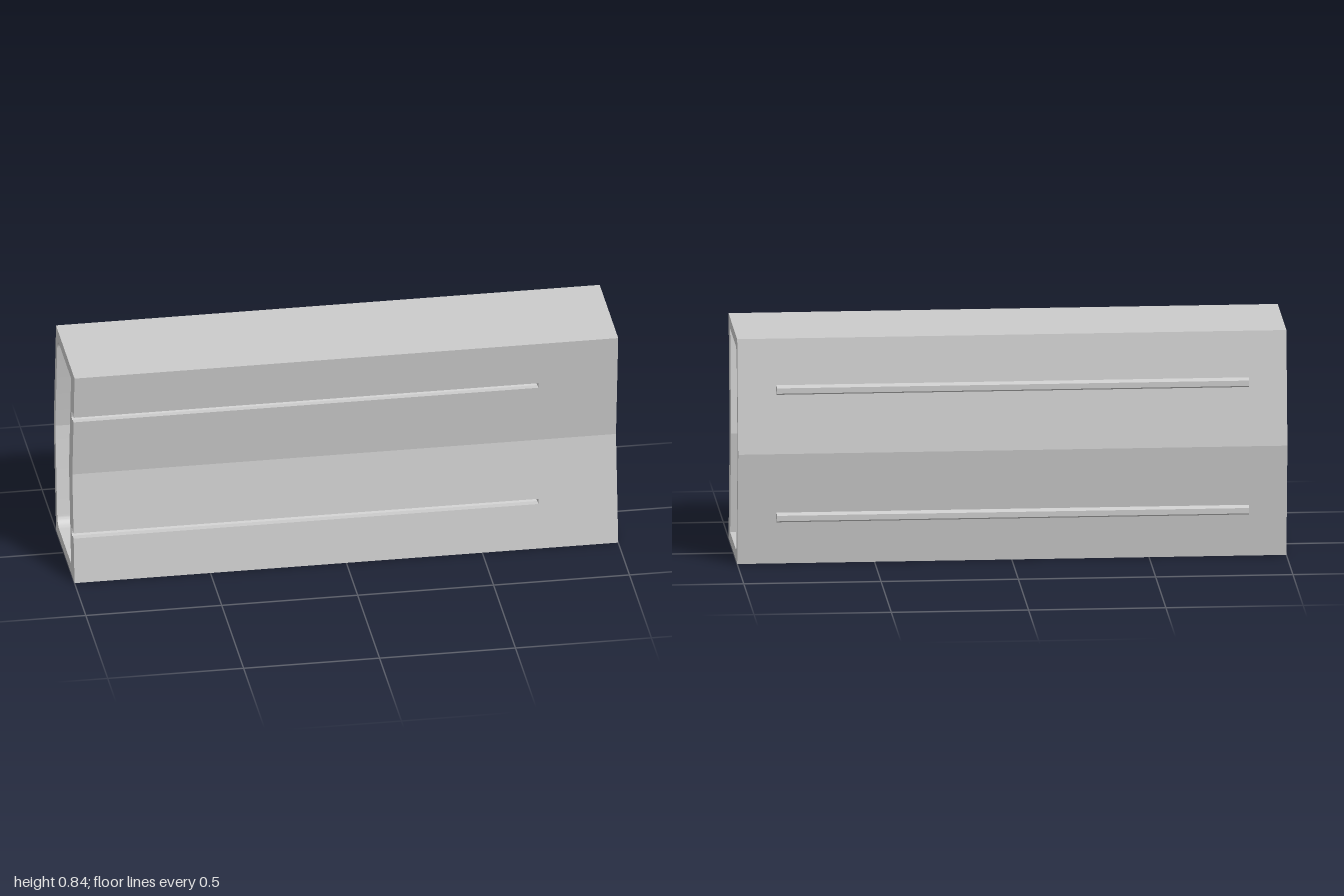
import * as THREE from 'three';
import { mergeGeometries, toCreasedNormals } from 'three/addons/utils/BufferGeometryUtils.js';

const H = 0.838, MID = H / 2;
const JOIN_Y = [MID - 0.2375, MID + 0.2375]; // heights of the slots and rails
const SLOT_END = 0.71;
const frontZ = (y) => 0.192 + 0.051 * Math.abs(y - MID) / MID;
const backZ = (y) => -0.232 + 0.052 * Math.abs(y - MID) / MID;

// Arrow-shaped joint section as [z, y], running from the wall surface towards -z
function joint(y, surface, zNeck, zTip, grow = 0) {
  const s = 0.009 + grow, h = 0.018 + grow, t = 0.01 + grow;
  return [
    [surface(y - s), y - s], [zNeck, y - s], [zNeck, y - h], [zTip, y - t],
    [zTip, y + t], [zNeck, y + h], [zNeck, y + s], [surface(y + s), y + s],
  ];
}
const slot = (y) => joint(y, frontZ, frontZ(y) - 0.023, frontZ(y) - 0.045, 0.001);

const toShape = (points) => new THREE.Shape(points.map(([z, y]) => new THREE.Vector2(-z, y)));

// Hollow section with a rounded inner back wall
function bodyShape(withSlots) {
  const cuts = withSlots ? JOIN_Y.map(slot) : [[], []];
  const shape = toShape([
    [-0.18, 0], [-0.232, MID], [-0.18, H], [0.243, H],
    ...cuts[1].reverse(), [0.192, MID], ...cuts[0].reverse(), [0.243, 0],
  ]);
  const hole = new THREE.Path();
  hole.moveTo(-0.163, 0.04);
  hole.lineTo(0.111, 0.04);
  hole.bezierCurveTo(0.131, 0.04, 0.150, 0.057, 0.1525, 0.077);
  hole.lineTo(0.195, MID);
  hole.lineTo(0.1525, H - 0.077);
  hole.bezierCurveTo(0.150, H - 0.057, 0.131, H - 0.04, 0.111, H - 0.04);
  hole.lineTo(-0.163, H - 0.04);
  hole.lineTo(-0.116, MID);
  hole.closePath();
  shape.holes.push(hole);
  return shape;
}

// Extrude a section along x
function extrudeX(shape, x0, x1) {
  const g = new THREE.ExtrudeGeometry(shape, { depth: x1 - x0, bevelEnabled: false, curveSegments: 10 });
  return g.rotateY(Math.PI / 2).translate(x0, 0, 0);
}

// Drop the end-cap triangles lying at a given x
function withoutCap(g, x) {
  const p = g.attributes.position, kept = [];
  for (let i = 0; i < p.count; i += 3) {
    const onCap = [0, 1, 2].every((k) => Math.abs(p.getX(i + k) - x) < 1e-5);
    if (!onCap) for (let k = 0; k < 3; k++) kept.push(p.getX(i + k), p.getY(i + k), p.getZ(i + k));
  }
  const out = new THREE.BufferGeometry();
  out.setAttribute('position', new THREE.Float32BufferAttribute(kept, 3));
  return out;
}

export function createModel() {
  const group = new THREE.Group();
  const material = new THREE.MeshStandardMaterial({ color: 0xcccccc });
  const add = (name, geometry) => {
    const mesh = new THREE.Mesh(geometry, material);
    mesh.name = name;
    group.add(mesh);
  };

  // Body: slotted length plus plain end, joined without inner caps
  const body = mergeGeometries([
    withoutCap(extrudeX(bodyShape(true), -1, SLOT_END), SLOT_END),
    withoutCap(extrudeX(bodyShape(false), SLOT_END, 1), SLOT_END),
  ]);
  add('hollowBody', toCreasedNormals(body, 0.2));

  JOIN_Y.forEach((y, i) => {
    const side = i ? 'upper' : 'lower';
    // Closed end of the front slot, facing -x
    const end = new THREE.Shape(slot(y).map(([z, py]) => new THREE.Vector2(z, py)));
    add(side + 'SlotEnd', new THREE.ShapeGeometry(end).rotateY(-Math.PI / 2).translate(SLOT_END, 0, 0));
    // Matching rail on the back
    add(side + 'BackRail', extrudeX(toShape(joint(y, backZ, -0.225, -0.243)), -0.86, 0.86));
  });
  return group;
}
